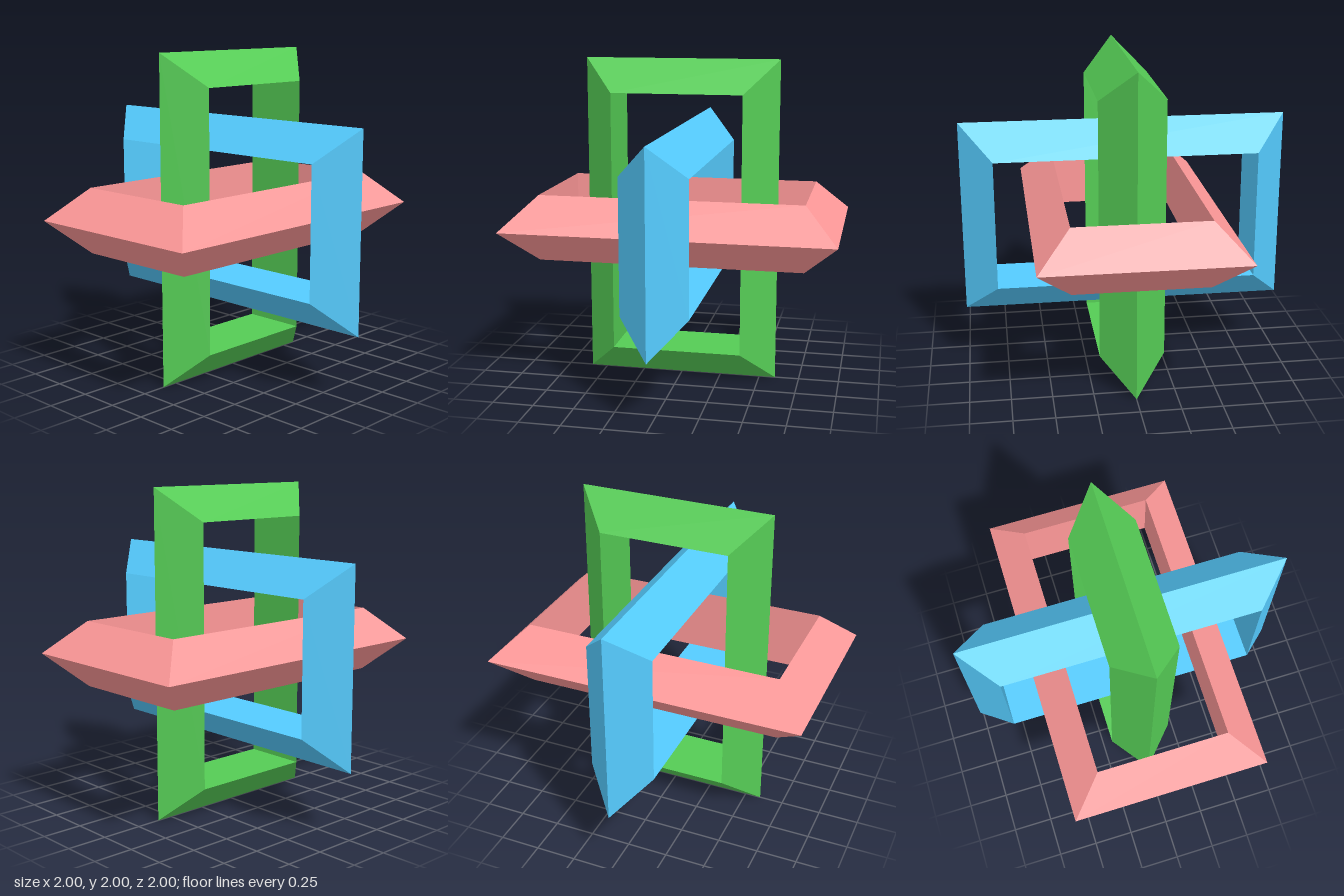
import * as THREE from 'three';

// Rectangular ring in the xy plane: a triangular bar with its ridge outwards
// and its flat side facing the opening, mitred at the four corners.
function ringGeometry(halfW, halfH, bar, halfDepth) {
  const corners = [[-1, -1], [1, -1], [1, 1], [-1, 1]];
  const sections = corners.map(([sx, sy]) => [
    [sx * halfW, sy * halfH, 0],
    [sx * (halfW - bar), sy * (halfH - bar), halfDepth],
    [sx * (halfW - bar), sy * (halfH - bar), -halfDepth],
  ]);
  const positions = [];
  for (let k = 0; k < 4; k++) {
    const s = sections[k], t = sections[(k + 1) % 4];
    for (let j = 0; j < 3; j++) {
      const n = (j + 1) % 3;
      for (const p of [s[j], t[j], t[n], s[j], t[n], s[n]]) positions.push(...p);
    }
  }
  const geometry = new THREE.BufferGeometry();
  geometry.setAttribute('position', new THREE.Float32BufferAttribute(positions, 3));
  geometry.computeVertexNormals();
  return geometry;
}

export function createModel() {
  const group = new THREE.Group();
  group.name = 'interlockedRings';

  // Turns x to y, y to z and z to x, taking each ring to the next plane
  const turn = new THREE.Matrix4().makeBasis(
    new THREE.Vector3(0, 1, 0), new THREE.Vector3(0, 0, 1), new THREE.Vector3(1, 0, 0));

  const rings = [
    ['uprightGreenRing', 0x55cc55],
    ['lengthwiseBlueRing', 0x55ccff],
    ['flatPinkRing', 0xff9999],
  ];
  rings.forEach(([name, color], i) => {
    const geometry = ringGeometry(0.6, 1, 0.2, 0.2);
    for (let n = 0; n < i; n++) geometry.applyMatrix4(turn);
    const ring = new THREE.Mesh(geometry, new THREE.MeshStandardMaterial({ color, flatShading: true }));
    ring.name = name;
    ring.position.y = 1;
    group.add(ring);
  });
  return group;
}
